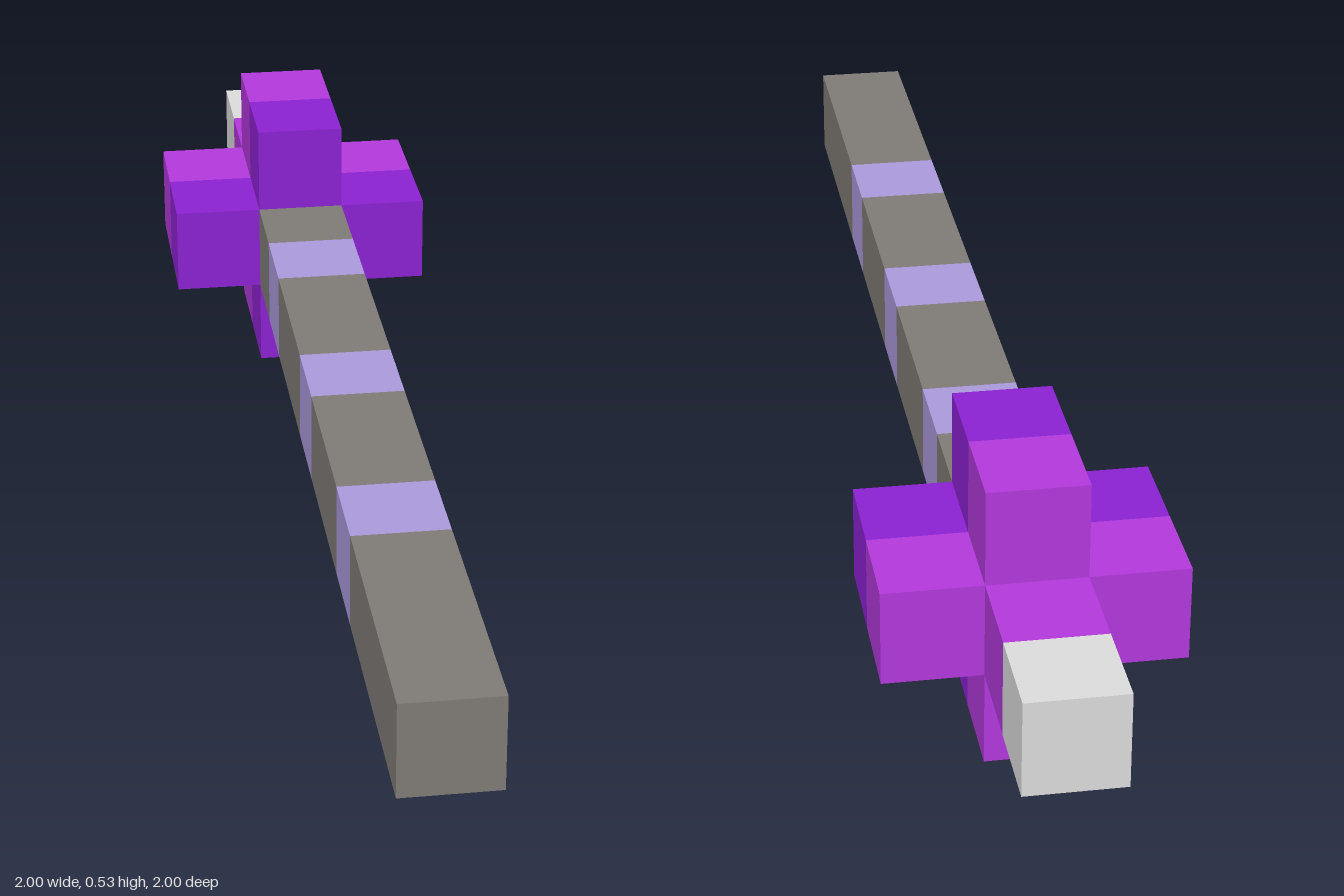
import * as THREE from 'three';

const U = 0.125 * Math.SQRT2; // edge of one cube cell

const material = (name, color) => {
  const m = new THREE.MeshStandardMaterial({ color });
  m.name = name;
  return m;
};

export function createModel() {
  const stone = material('warm grey', 0x807c77);
  const lilac = material('lilac', 0xad9bde);
  const violet = material('deep violet', 0x8d22d4);
  const purple = material('bright purple', 0xb439de);
  const silver = material('silver', 0xdedede);

  const model = new THREE.Group();
  model.name = 'staff';

  // The staff runs along its own x axis, in cells numbered 0 to 14
  const addBlock = (name, mat, start, length, up = 0, side = 0) => {
    const mesh = new THREE.Mesh(new THREE.BoxGeometry(length * U, U, U), mat);
    mesh.name = name;
    mesh.position.set((start + length / 2 - 7.5) * U, up * U, side * U);
    staff.add(mesh);
  };
  const staff = new THREE.Group();
  staff.name = 'diagonalStaff';
  staff.position.y = 1.5 * U;
  staff.rotation.y = Math.PI / 4;
  model.add(staff);

  // Shaft with three bands
  [[0, 3], [4, 2], [7, 2], [10, 1]].forEach(([start, length]) => addBlock('shaft', stone, start, length));
  [3, 6, 9].forEach((start) => addBlock('band', lilac, start, 1));

  // Cross-shaped head in two layers: centre and four arms
  [[0, 0], [1, 0], [-1, 0], [0, 1], [0, -1]].forEach(([up, side]) => {
    const name = up || side ? 'headArm' : 'headCore';
    addBlock(name + 'Rear', violet, 11, 1, up, side);
    addBlock(name + 'Front', purple, 12, 1, up, side);
  });

  // Neck and tip
  addBlock('neck', purple, 13, 1);
  addBlock('tip', silver, 14, 1);

  return model;
}
